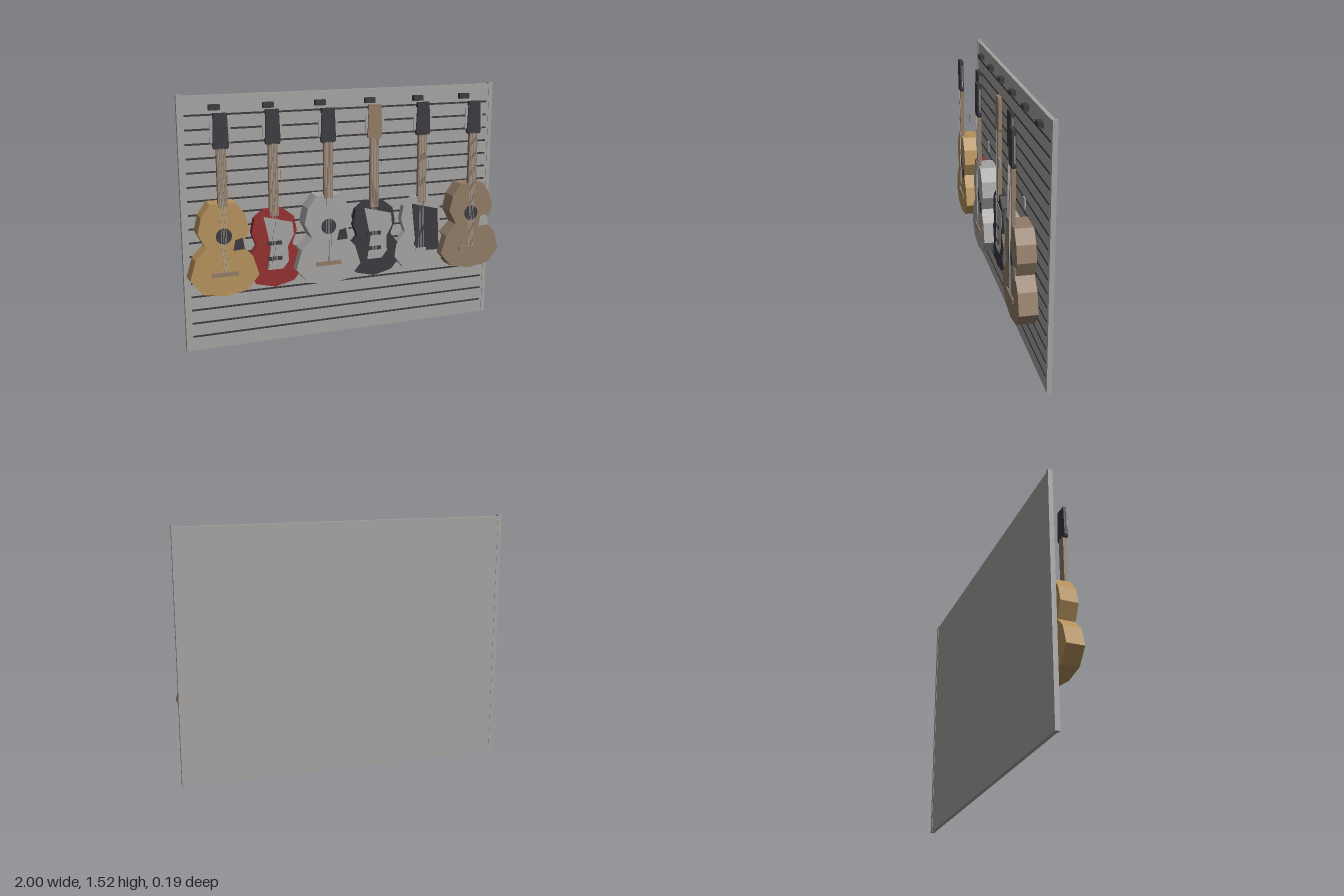
import * as THREE from 'three';

const paint = (name, color) => {
  const m = new THREE.MeshStandardMaterial({ color });
  m.name = name;
  return m;
};

export function createModel() {
  const grey = paint('light grey', 0xa5a3a1);
  const dark = paint('charcoal', 0x3b393f);
  const brown = paint('brown wood', 0x917b67);
  const tan = paint('honey wood', 0xb3905a);
  const red = paint('red lacquer', 0x932f30);

  const model = new THREE.Group();
  model.name = 'guitarWall';

  const add = (parent, name, geometry, material, x = 0, y = 0, z = 0) => {
    const mesh = new THREE.Mesh(geometry, material);
    mesh.name = name;
    mesh.position.set(x, y, z);
    parent.add(mesh);
    return mesh;
  };
  // box given by its centre in x and y and its back and front in z
  const box = (parent, name, material, w, h, x, y, z0, z1) =>
    add(parent, name, new THREE.BoxGeometry(w, h, z1 - z0), material, x, y, (z0 + z1) / 2);
  // flat outline extruded from z0 to z1
  const slab = (parent, name, material, points, z0, z1) => {
    const shape = new THREE.Shape(points.map(([x, y]) => new THREE.Vector2(x, y)));
    const geometry = new THREE.ExtrudeGeometry(shape, { depth: z1 - z0, bevelEnabled: false });
    return add(parent, name, geometry, material, 0, 0, z0);
  };
  const mirrored = half => [...half, ...half.filter(p => p[0] > 0).reverse().map(([x, y]) => [-x, y])];

  // slatted wall with edge posts
  box(model, 'wallPanel', grey, 1.96, 1.515, 0, 0.76, -0.093, -0.07);
  for (const s of [-1, 1]) box(model, 'edgePost', grey, 0.025, 1.525, s * 0.9875, 0.7625, -0.095, -0.067);
  for (let i = 0; i < 17; i++) box(model, 'slatGroove', dark, 1.92, 0.011, 0, 0.09 + i * 0.0823, -0.071, -0.068);

  // half outlines of the bodies, from the neck end down to the bottom
  const acousticBody = mirrored([[0.075, 0.923], [0.128, 0.85], [0.15, 0.757], [0.103, 0.668],
    [0.168, 0.6], [0.203, 0.484], [0.13, 0.397], [0, 0.375]]);
  const electricBody = mirrored([[0.055, 0.85], [0.12, 0.8], [0.137, 0.715], [0.108, 0.635],
    [0.165, 0.565], [0.178, 0.48], [0.115, 0.405], [0, 0.377]]);

  // pickguard outlines
  const cornerGuard = [[0.066, 0.703], [0.108, 0.715], [0.12, 0.647], [0.053, 0.643]];
  const wideGuard = [[-0.065, 0.81], [0.11, 0.765], [0.118, 0.69], [0.08, 0.62], [0.085, 0.53],
    [0.05, 0.485], [-0.045, 0.485], [-0.025, 0.62]];
  const plainGuard = [[-0.065, 0.81], [0.11, 0.765], [0.125, 0.5], [-0.03, 0.505]];

  const guitars = [
    { body: tan, guard: dark, head: dark, acoustic: true },
    { body: red, guard: grey, head: dark, outline: wideGuard },
    { body: grey, guard: dark, head: dark, acoustic: true },
    { body: dark, guard: grey, head: brown, outline: wideGuard },
    { body: grey, guard: dark, head: dark, outline: plainGuard },
    { body: brown, guard: grey, head: dark, acoustic: true },
  ];

  guitars.forEach((spec, i) => {
    const x = -0.79 + i * 0.316;

    // wall hook and hanging tag
    box(model, 'wallHook', dark, 0.064, 0.032, x, 1.45, -0.07, -0.04);
    box(model, 'priceTag', grey, 0.042, 0.058, x + 0.064, 1.057, 0.031, 0.037);

    const g = new THREE.Group();
    g.name = spec.acoustic ? 'acousticGuitar' : 'electricGuitar';
    g.position.x = x;
    model.add(g);
    const front = spec.acoustic ? 0.088 : 0.028;
    const neckEnd = spec.acoustic ? 0.905 : 0.81;

    slab(g, 'body', spec.body, spec.acoustic ? acousticBody : electricBody, -0.017, front);

    // neck, headstock and tuner plate
    box(g, 'neck', brown, 0.055, 1.245 - neckEnd, 0, (1.245 + neckEnd) / 2, front - 0.018, front + 0.004);
    slab(g, 'headstock', spec.head, mirrored([[0.039, 1.434], [0.046, 1.25], [0.04, 1.235]]),
      front - 0.016, front + 0.006);
    box(g, 'tunerPlate', grey, 0.118, 0.138, 0, 1.337, front - 0.007, front - 0.003);

    if (spec.acoustic) {
      const hole = add(g, 'soundHole', new THREE.CylinderGeometry(0.047, 0.047, 0.004, 12), dark, 0, 0.733, front + 0.001);
      hole.rotation.x = Math.PI / 2;
      slab(g, 'pickguard', spec.guard, cornerGuard, front - 0.001, front + 0.003);
      box(g, 'bridge', brown, 0.156, 0.024, 0, 0.507, front - 0.002, front + 0.008);
    } else {
      slab(g, 'pickguard', spec.guard, spec.outline, front - 0.001, front + 0.003);
      for (const y of [0.647, 0.553]) box(g, 'pickup', dark, 0.088, 0.024, 0, y, front, front + 0.006);
      box(g, 'bridge', grey, 0.07, 0.022, 0, 0.512, front, front + 0.006);
    }

    // strings
    for (const sx of [-0.015, -0.005, 0.005, 0.015])
      box(g, 'string', grey, 0.0025, 0.74, sx, 0.87, front + 0.0045, front + 0.0065);
  });

  return model;
}
